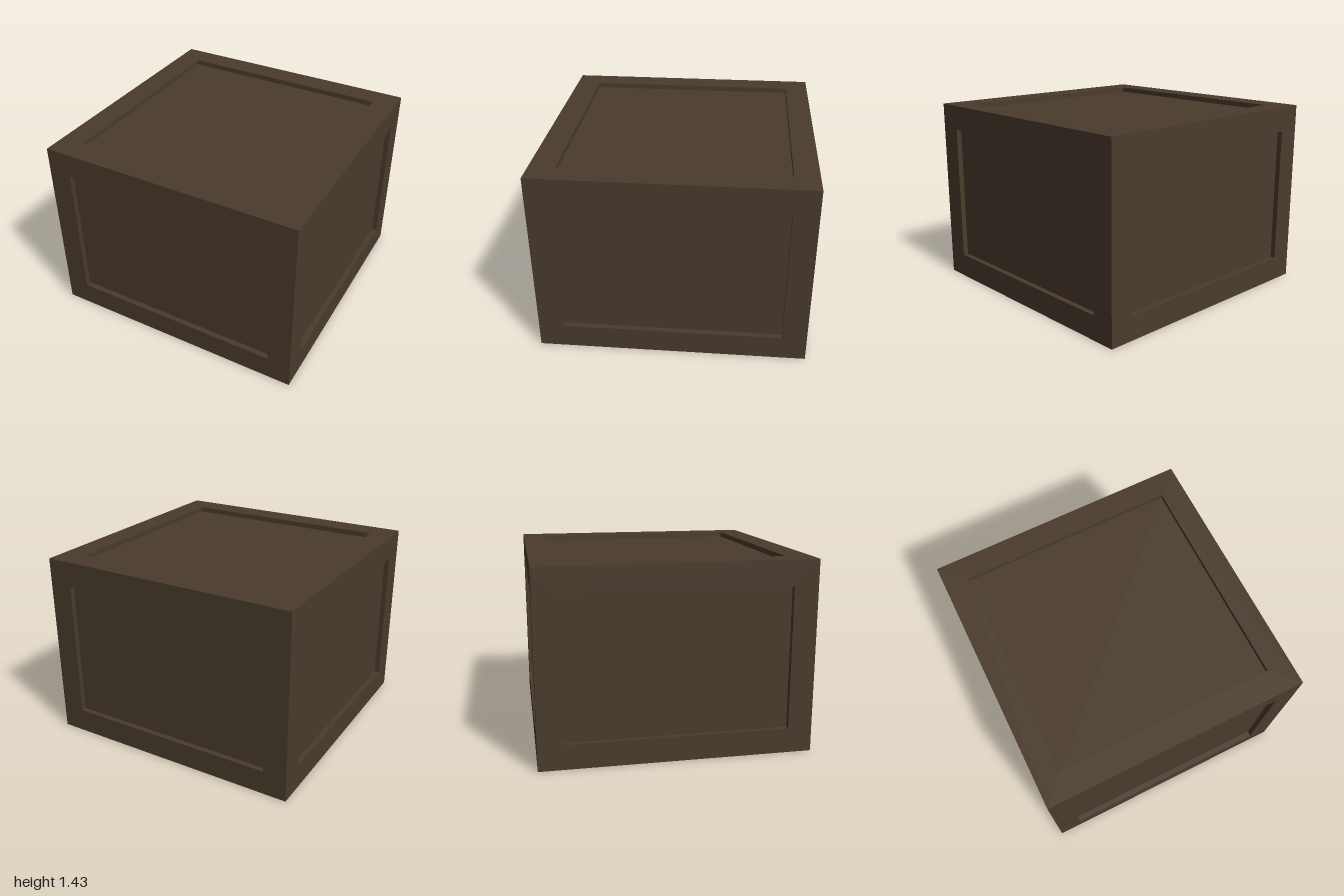
import * as THREE from 'three';

const W = 2, H = 1.43, D = 2;   // crate size
const RECESS = 0.04;            // depth of the sunken panels

const wood = new THREE.MeshStandardMaterial({ color: 0x4a3c2d });
wood.name = 'dark brown wood';

// Rectangle path from its edges, counter-clockwise
function trace(path, x0, x1, y0, y1) {
  path.moveTo(x0, y0);
  path.lineTo(x1, y0);
  path.lineTo(x1, y1);
  path.lineTo(x0, y1);
  path.closePath();
  return path;
}

// One crate side facing +z: a frame, a sunken panel and the four walls of the recess
function makeSide(name, w, h, x0, x1, y0, y1) {
  const side = new THREE.Group();
  side.name = name;
  const add = (geometry, part) => {
    const mesh = new THREE.Mesh(geometry, wood);
    mesh.name = part;
    side.add(mesh);
    return mesh;
  };

  const outline = trace(new THREE.Shape(), -w / 2, w / 2, -h / 2, h / 2);
  outline.holes.push(trace(new THREE.Path(), x0, x1, y0, y1));
  add(new THREE.ShapeGeometry(outline), name + 'Frame');

  const pw = x1 - x0, ph = y1 - y0, cx = (x0 + x1) / 2, cy = (y0 + y1) / 2;
  add(new THREE.PlaneGeometry(pw, ph), name + 'Panel').position.set(cx, cy, -RECESS);

  // Walls face the middle of the recess
  for (const s of [-1, 1]) {
    const upright = add(new THREE.PlaneGeometry(RECESS, ph), name + 'RecessWall');
    upright.rotation.y = -s * Math.PI / 2;
    upright.position.set(cx + s * pw / 2, cy, -RECESS / 2);
    const level = add(new THREE.PlaneGeometry(pw, RECESS), name + 'RecessWall');
    level.rotation.x = s * Math.PI / 2;
    level.position.set(cx, cy + s * ph / 2, -RECESS / 2);
  }
  return side;
}

export function createModel() {
  const crate = new THREE.Group();
  crate.name = 'crate';

  // Four upright sides
  ['front', 'left', 'back', 'right'].forEach((name, i) => {
    const side = makeSide(name, W, H, -0.82, 0.82, 0.185 - H / 2, 1.24 - H / 2);
    const a = i * Math.PI / 2;
    side.rotation.y = a;
    side.position.set(Math.sin(a) * W / 2, H / 2, Math.cos(a) * D / 2);
    crate.add(side);
  });

  // Lid and base
  const lid = makeSide('lid', W, D, -0.82, 0.82, -0.81, 0.82);
  lid.rotation.x = -Math.PI / 2;
  lid.position.y = H;
  const base = makeSide('base', W, D, -0.82, 0.82, -0.82, 0.82);
  base.rotation.x = Math.PI / 2;
  crate.add(lid, base);

  return crate;
}
